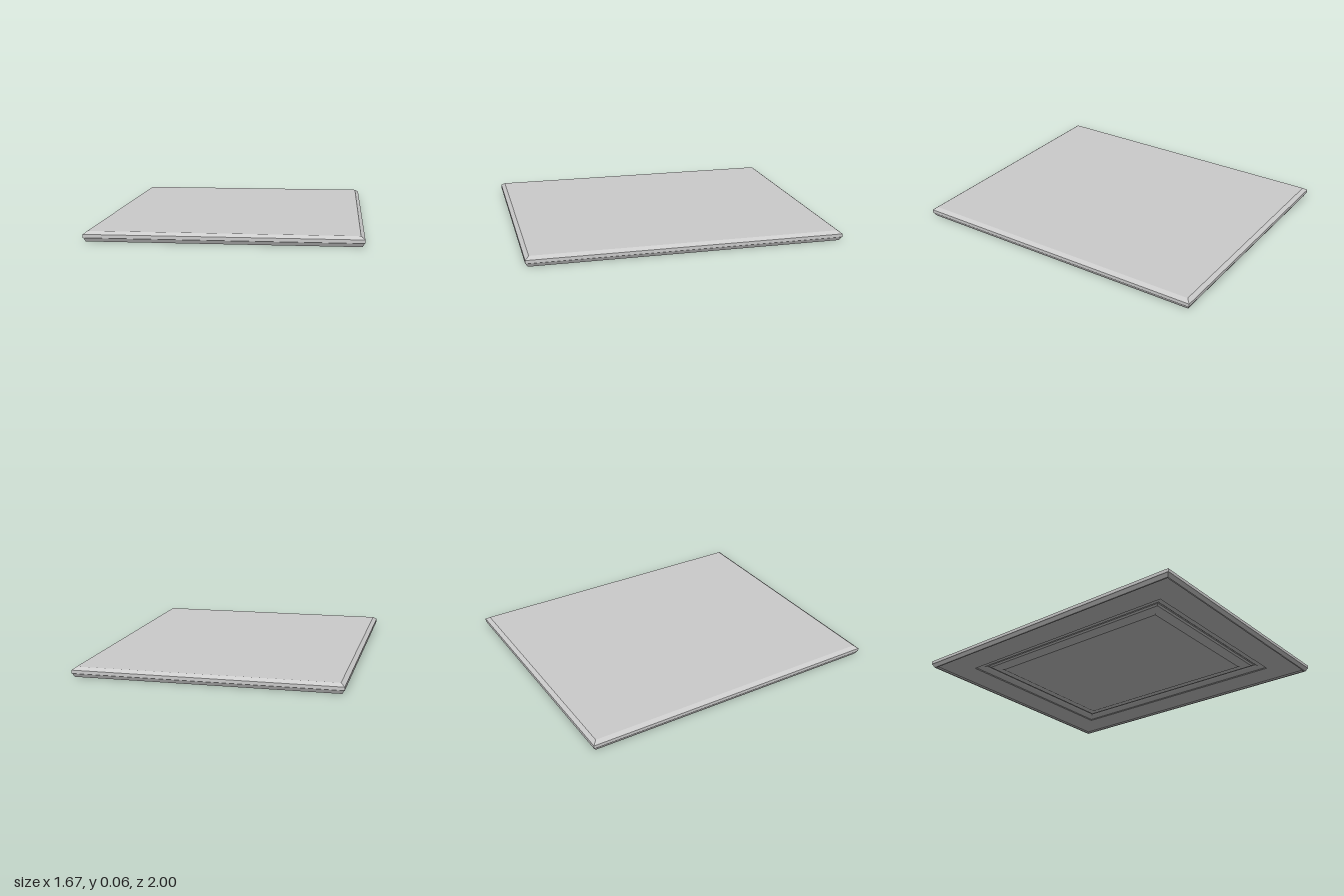
import * as THREE from 'three';

const HALF_X = 0.833, HALF_Z = 1;

// Rectangular ring of corners, inset from the outer edge, at height y
function ring([inset, y]) {
  const x = HALF_X - inset, z = HALF_Z - inset;
  return [[x, y, z], [x, y, -z], [-x, y, -z], [-x, y, z]];
}

// Mitred band swept around the rectangle from a profile of [inset, y] points
function band(profile, { capTop = false, capBottom = false } = {}) {
  const rings = profile.map(ring);
  const pos = [];
  const quad = (a, b, c, d) => pos.push(...a, ...b, ...c, ...a, ...c, ...d);
  for (let k = 0; k < rings.length - 1; k++) {
    for (let i = 0; i < 4; i++) {
      const j = (i + 1) % 4;
      quad(rings[k][i], rings[k + 1][i], rings[k + 1][j], rings[k][j]);
    }
  }
  if (capTop) quad(...rings[0]);
  if (capBottom) quad(...rings[rings.length - 1].slice().reverse());
  const geometry = new THREE.BufferGeometry();
  geometry.setAttribute('position', new THREE.Float32BufferAttribute(pos, 3));
  geometry.computeVertexNormals();
  return geometry;
}

export function createModel() {
  const group = new THREE.Group();
  group.name = 'panelDoor';
  const material = new THREE.MeshStandardMaterial({ color: 0xcccccc, flatShading: true });
  const add = (name, profile, caps) => {
    const mesh = new THREE.Mesh(band(profile, caps), material);
    mesh.name = name;
    group.add(mesh);
  };

  // Flat back with chamfered outer edge and a small lip on the face side
  add('backAndEdge', [
    [0.025, 0.063], [0, 0.045], [0, 0.024], [0.004, 0.021],
    [0.015, 0], [0.024, 0], [0.03, 0.009],
  ], { capTop: true });

  // Wide flat frame on the underside
  add('frame', [[0.03, 0.009], [0.21, 0.009]]);

  // Stepped moulding down into the groove
  add('moulding', [
    [0.21, 0.009], [0.214, 0.015], [0.235, 0.017], [0.255, 0.024],
    [0.265, 0.032], [0.275, 0.032],
  ]);

  // Raised centre panel with sloped border
  add('centrePanel', [
    [0.275, 0.032], [0.285, 0.022], [0.345, 0.013], [0.35, 0.009],
  ], { capBottom: true });

  return group;
}
